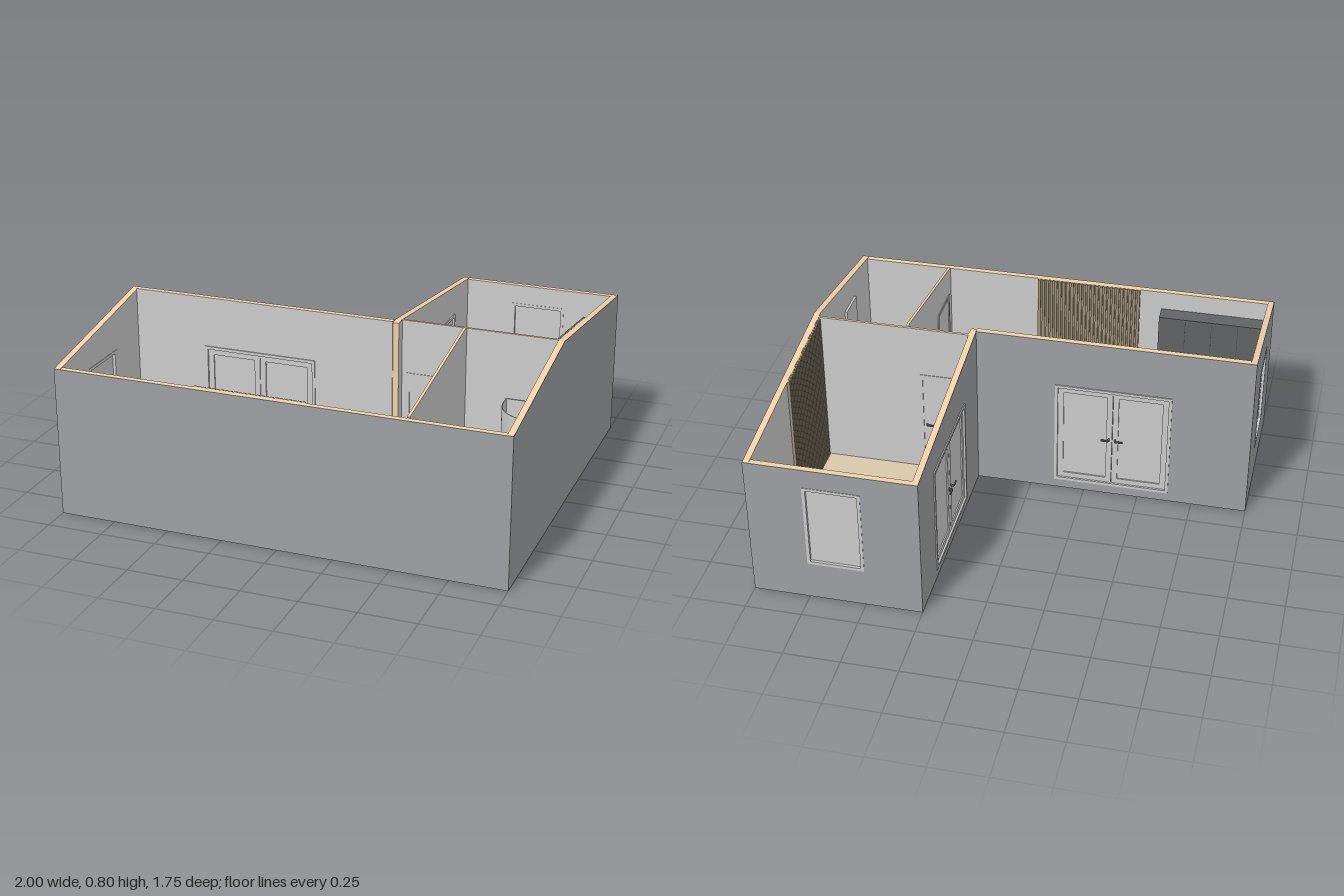
import * as THREE from 'three';

const T = 0.028, SKIN = 0.002, FLOOR = 0.04;
const mat = (color) => new THREE.MeshStandardMaterial({ color, side: THREE.DoubleSide });

// roof line height along the depth of the house
const roofY = (z) => 0.795 - 0.125 * (z > 0.125 ? (z - 0.125) / 0.75 : 0.125 - z);

export function createModel() {
  const house = new THREE.Group();
  house.name = 'house';
  const grey = mat(0xcccccc), siding = mat(0x9c9fa2), timber = mat(0xf0d0a6), boards = mat(0xd8c8ac);
  const wood = mat(0x9d9077), dark = mat(0x606264), worktop = mat(0xa59780), black = mat(0x4a4a4a);

  const add = (name, geo, m, parent = house) => {
    const mesh = new THREE.Mesh(geo, m);
    mesh.name = name;
    parent.add(mesh);
    return mesh;
  };
  // box given by its min and max corners
  const box = (name, a, b, m, parent) => add(name, new THREE.BoxGeometry(b[0] - a[0], b[1] - a[1], b[2] - a[2])
    .translate((a[0] + b[0]) / 2, (a[1] + b[1]) / 2, (a[2] + b[2]) / 2), m, parent);
  const poly = (pts) => new THREE.Shape(pts.map((p) => new THREE.Vector2(...p)));
  const rect = (x0, y0, x1, y1) => poly([[x0, y0], [x1, y0], [x1, y1], [x0, y1]]);
  const extrude = (shape, depth) => new THREE.ExtrudeGeometry(shape, { depth, bevelEnabled: false, curveSegments: 16 });
  // plan shape (x, -z) raised to a height
  const raise = (shape, y0, y1) => extrude(shape, y1 - y0).rotateX(-Math.PI / 2).translate(0, y0, 0);

  // upright panel running along x or z, with openings [u0, y0, u1, y1]
  function panel(name, axis, lo, depth, u0, u1, top, holes, m) {
    const pts = [[u0, 0], [u1, 0], [u1, top(u1)]];
    if (axis === 'z' && u0 < 0.124 && u1 > 0.126) pts.push([0.125, top(0.125)]);
    pts.push([u0, top(u0)]);
    const shape = poly(pts);
    holes.forEach((h) => shape.holes.push(rect(...h)));
    const geo = extrude(shape, depth);
    if (axis === 'z') geo.rotateY(-Math.PI / 2).translate(lo + depth, 0, 0);
    else geo.translate(0, 0, lo);
    add(name, geo, m);
  }

  // outer wall: lined timber core plus thin siding; dir points indoors
  function wall(name, axis, outer, dir, core, skin, holes = [], h = 0) {
    const top = axis === 'z' ? roofY : () => h;
    const t = T - SKIN;
    panel(name + 'Core', axis, dir > 0 ? outer + SKIN : outer - T, t, ...core, top, holes, [grey, timber]);
    panel(name + 'Siding', axis, dir > 0 ? outer : outer - SKIN, SKIN, ...skin, top, holes, siding);
  }

  const windowHole = (c) => [c - 0.125, 0.18, c + 0.125, 0.58];
  const doorHole = (c) => [c - 0.265, 0.045, c + 0.265, 0.565];
  wall('frontWall', 'x', 0.875, -1, [-1 + T, 1 - T], [-1, 1], [], 0.67);
  wall('rightSideWall', 'z', -1, 1, [0.125 + SKIN, 0.875 - SKIN], [0.125, 0.875], [windowHole(0.5)]);
  wall('leftSideWall', 'z', 1, -1, [-0.875 + SKIN, 0.875 - SKIN], [-0.875, 0.875]);
  wall('courtWall', 'x', 0.125, 1, [-1 + T, 0.25], [-1, 0.25], [doorHole(-0.375)], 0.795);
  wall('wingCourtWall', 'z', 0.25, 1, [-0.875 + SKIN, 0.125 + T], [-0.875, 0.125], [doorHole(-0.375)]);
  wall('wingEndWall', 'x', -0.875, 1, [0.25 + T, 1 - T], [0.25, 1], [windowHole(0.625)], 0.67);

  // partitions
  panel('wingPartition', 'x', 0.095, 0.012, 0.278, 0.972, () => 0.791, [[0.3, FLOOR, 0.51, 0.55]], [grey, timber]);
  panel('bathroomPartition', 'z', 0.556, 0.012, 0.107, 0.847, roofY, [[0.595, FLOOR, 0.805, 0.55]], [grey, timber]);

  // raised floor
  const i = 1 - T, f = 0.875 - T;
  const plan = poly([[-i, -f], [i, -f], [i, f], [0.25 + T, f], [0.25 + T, -0.125 - T], [-i, -0.125 - T]]);
  add('floorSlab', raise(plan, 0.02, 0.032), siding);
  add('floorBoards', raise(plan, 0.032, FLOOR), boards);

  // rectangular ring centred on z = 0
  function ring(name, x0, y0, x1, y1, b, depth, parent) {
    const s = rect(x0, y0, x1, y1);
    s.holes.push(rect(x0 + b, y0 + b, x1 - b, y1 - b));
    add(name, extrude(s, depth).translate(0, 0, -depth / 2), grey, parent);
  }
  function handle(x, y, dir, z, parent) {
    for (const s of [-1, 1]) {
      box('handleStem', [x - 0.004, y - 0.004, Math.min(0, s * z)], [x + 0.004, y + 0.004, Math.max(0, s * z)], dark, parent);
      box('handleGrip', [Math.min(x, x + dir * 0.035), y - 0.004, s * z - 0.003],
        [Math.max(x, x + dir * 0.035), y + 0.004, s * z + 0.003], dark, parent);
    }
  }
  // frame with glazed leaves, or one solid leaf
  function opening(name, axis, u, at, w, y0, y1, depth, kind) {
    const g = new THREE.Group();
    g.name = name;
    g.position.set(axis === 'x' ? u : at, 0, axis === 'x' ? at : u);
    if (axis === 'z') g.rotation.y = -Math.PI / 2;
    house.add(g);
    const h = w / 2, b = 0.014;
    ring('frame', -h, y0, h, y1, b, depth, g);
    if (kind === 'window') box('glass', [-h + b, y0 + b, -0.003], [h - b, y1 - b, 0.003], grey, g);
    if (kind === 'solid') {
      box('leaf', [-h + b, y0, -0.005], [h - b, y1 - b, 0.005], grey, g);
      handle(h - 0.03, 0.28, -1, 0.016, g);
    }
    if (kind === 'double') for (const s of [-1, 1]) {
      const x0 = s < 0 ? -h + b : 0.001, x1 = s < 0 ? -0.001 : h - b;
      ring('leafFrame', x0, y0 + b, x1, y1 - b, 0.026, 0.02, g);
      box('glass', [x0 + 0.02, y0 + 0.03, -0.004], [x1 - 0.02, y1 - 0.03, 0.004], grey, g);
      handle(s * 0.015, 0.3, s, 0.026, g);
    }
  }
  opening('courtDoors', 'x', -0.375, 0.125 + T / 2, 0.53, 0.045, 0.565, T + 0.01, 'double');
  opening('wingDoors', 'z', -0.375, 0.25 + T / 2, 0.53, 0.045, 0.565, T + 0.01, 'double');
  opening('sideWindow', 'z', 0.5, -1 + T / 2, 0.25, 0.18, 0.58, T + 0.004, 'window');
  opening('wingWindow', 'x', 0.625, -0.875 + T / 2, 0.25, 0.18, 0.58, T + 0.004, 'window');
  opening('wingDoor', 'x', 0.405, 0.101, 0.21, FLOOR, 0.55, 0.018, 'solid');
  opening('bathroomDoor', 'z', 0.7, 0.562, 0.21, FLOOR, 0.55, 0.018, 'solid');

  // timber slat panels
  const N = 25;
  for (let k = 0; k < N; k++) {
    const x = -0.37 + k * 0.02, z = -0.36 + k * 0.0181;
    box('frontSlat', [x, FLOOR, 0.834], [x + 0.013, 0.67, 0.845], wood);
    box('wingSlat', [0.96, FLOOR, z], [0.97, roofY(z), z + 0.012], wood);
  }
  box('frontSlatBacking', [-0.37, FLOOR, 0.842], [0.125, 0.67, 0.847], wood);
  panel('wingSlatBacking', 'z', 0.967, 0.005, -0.36, 0.09, (z) => roofY(z) - 0.001, [], wood);

  // kitchen
  box('baseCabinet', [-0.972, FLOOR, 0.7], [-0.475, 0.255, 0.847], dark);
  box('worktop', [-0.972, 0.255, 0.69], [-0.475, 0.265, 0.847], worktop);
  box('wallCabinet', [-0.972, 0.4, 0.767], [-0.475, 0.58, 0.847], dark);
  box('drainer', [-0.94, 0.265, 0.705], [-0.8, 0.268, 0.775], grey);
  box('sinkBowl', [-0.925, 0.268, 0.712], [-0.86, 0.27, 0.77], black);
  box('sinkInside', [-0.918, 0.27, 0.72], [-0.867, 0.271, 0.765], grey);
  add('tap', new THREE.TubeGeometry(new THREE.CatmullRomCurve3([[0.785, 0.265], [0.785, 0.32], [0.765, 0.33], [0.748, 0.312]]
    .map(([z, y]) => new THREE.Vector3(-0.89, y, z))), 12, 0.004, 6), grey);
  box('cooktop', [-0.61, 0.265, 0.7], [-0.54, 0.269, 0.79], black);
  box('cookerHood', [-0.62, 0.39, 0.755], [-0.475, 0.4, 0.8], grey);
  for (let k = 1; k < 4; k++) {
    const x = -0.972 + k * 0.124;
    box('lowerSeam', [x - 0.001, 0.05, 0.699], [x + 0.001, 0.25, 0.701], black);
    box('upperSeam', [x - 0.001, 0.405, 0.766], [x + 0.001, 0.575, 0.768], black);
  }

  // corner shower
  const quadrant = (d) => {
    const s = new THREE.Shape();
    s.moveTo(0.97 - d, -0.109 - d);
    s.lineTo(0.745 + d, -0.109 - d);
    s.lineTo(0.745 + d, -0.16);
    s.absarc(0.915, -0.16, 0.17 - d, Math.PI, Math.PI * 1.5, false);
    s.lineTo(0.97 - d, -0.33 + d);
    s.closePath();
    return s;
  };
  const rim = quadrant(0), screen = quadrant(0.008);
  rim.holes.push(quadrant(0.022));
  screen.holes.push(quadrant(0.012));
  add('showerBase', raise(quadrant(0.001), FLOOR, 0.055), grey);
  add('showerRim', raise(rim, FLOOR, 0.075), grey);
  add('showerScreen', raise(screen, 0.075, 0.5), grey);

  // washbasin and mirror
  const bowl = new THREE.CylinderGeometry(0.05, 0.025, 0.05, 24);
  add('basinBowl', bowl.translate(0.93, 0.235, 0.53), grey);
  box('basinBack', [0.93, 0.215, 0.455], [0.97, 0.262, 0.602], grey);
  add('basinHollow', new THREE.CylinderGeometry(0.034, 0.034, 0.002, 24).translate(0.925, 0.262, 0.53), dark);
  add('basinPedestal', new THREE.CylinderGeometry(0.018, 0.022, 0.17, 16).translate(0.945, 0.125, 0.53), grey);
  box('basinTap', [0.925, 0.262, 0.526], [0.958, 0.277, 0.534], grey);
  box('mirror', [0.96, 0.4, 0.46], [0.971, 0.6, 0.61], grey);

  // toilet
  const seat = new THREE.Shape();
  seat.moveTo(0.93, -0.77);
  seat.lineTo(0.93, -0.685);
  seat.lineTo(0.855, -0.68);
  seat.absarc(0.853, -0.728, 0.048, Math.PI / 2, Math.PI * 1.5, false);
  seat.closePath();
  add('toiletSeat', raise(seat, 0.13, 0.15), grey);
  add('toiletBowl', new THREE.CylinderGeometry(0.044, 0.028, 0.09, 20).scale(1.2, 1, 1).translate(0.862, 0.085, 0.728), grey);
  box('toiletFoot', [0.86, FLOOR, 0.7], [0.95, 0.13, 0.756], grey);
  box('cistern', [0.92, 0.13, 0.68], [0.97, 0.235, 0.776], grey);
  box('cisternLid', [0.916, 0.235, 0.676], [0.97, 0.243, 0.78], grey);
  return house;
}
